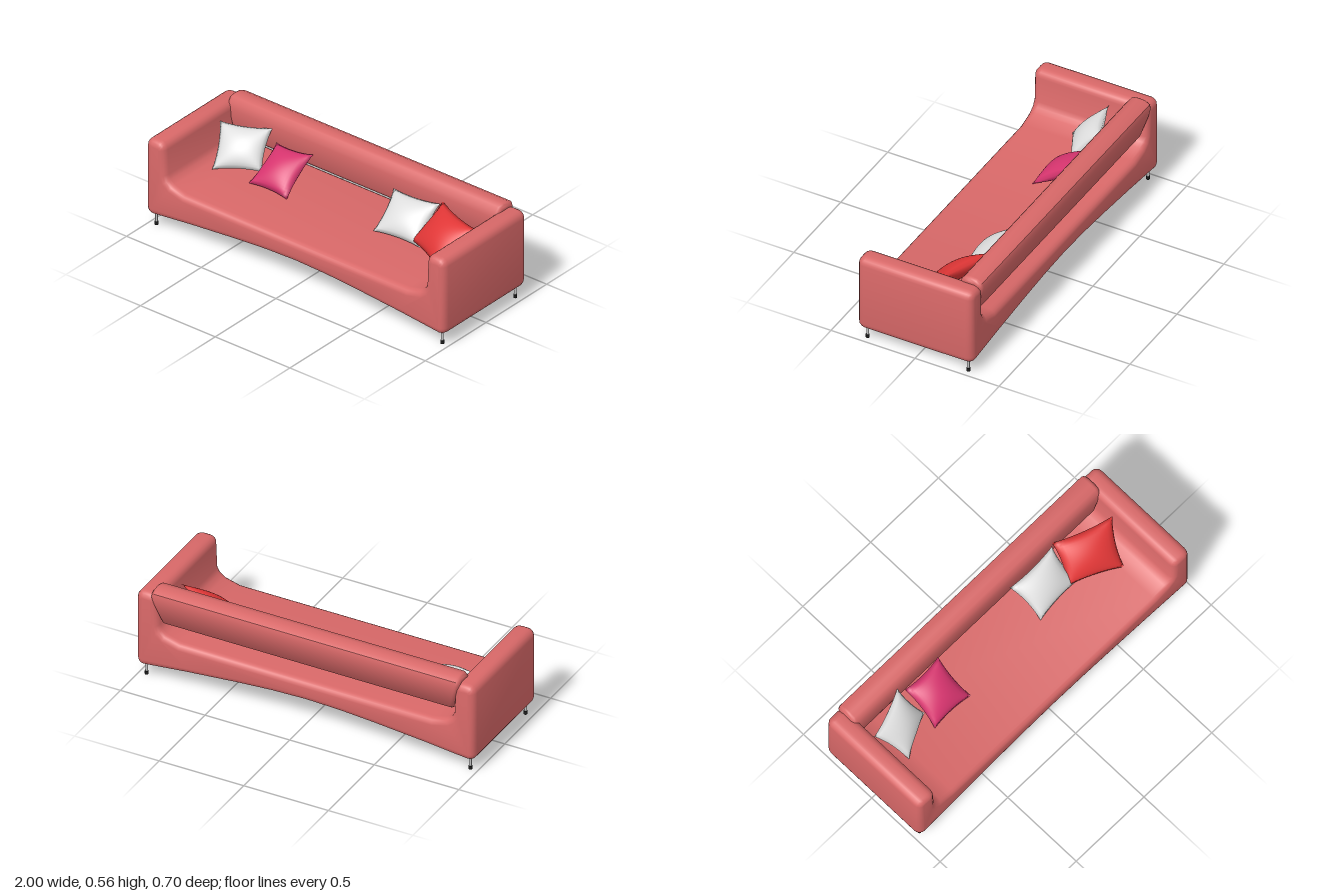
import * as THREE from 'three';
import { toCreasedNormals, mergeGeometries, mergeVertices } from 'three/addons/utils/BufferGeometryUtils.js';

const mat = (name, color) => {
  const m = new THREE.MeshStandardMaterial({ color });
  m.name = name;
  return m;
};

const addMesh = (parent, name, geometry, material) => {
  const mesh = new THREE.Mesh(geometry, material);
  mesh.name = name;
  parent.add(mesh);
  return mesh;
};

// Quarter-circle corner as a short run of points
const corner = (cx, cy, r, startDeg) => [0, 1, 2, 3, 4].map((i) => {
  const a = THREE.MathUtils.degToRad(startDeg + i * 22.5);
  return [cx + r * Math.cos(a), cy + r * Math.sin(a)];
});

const toShape = (pts) => new THREE.Shape(pts.map(([x, y]) => new THREE.Vector2(x, y)));

// Seat and arms: one U-shaped outline, extruded front to back with soft edges
function bodyGeometry() {
  const r = 0.042;
  const half = [
    [0.2, 0.139], [0.4, 0.125], [0.7, 0.098],
    ...corner(1 - r, 0.07 + r, r, -90),
    ...corner(1 - r, 0.525 - r, r, 0),
    ...corner(0.878 + r, 0.525 - r, r, 90),
    [0.872, 0.335], [0.858, 0.308], [0.83, 0.288], [0.745, 0.265],
  ];
  const mirrored = half.map(([x, y]) => [-x, y]).reverse();
  const g = new THREE.ExtrudeGeometry(toShape([[0, 0.145], ...half, ...mirrored]), {
    depth: 0.606, bevelThickness: 0.04, bevelSize: 0.036, bevelOffset: -0.036, bevelSegments: 4,
  });
  g.translate(0, 0, -0.298);
  return toCreasedNormals(g, 0.7);
}

// Backrest: leaning rounded section run along x, narrowing at the lower ends
function backrestGeometry() {
  const section = [
    [0.207, 0.365], [0.222, 0.343], [0.25, 0.335], [0.285, 0.337], [0.31, 0.355],
    [0.338, 0.46], [0.347, 0.51], [0.34, 0.537], [0.31, 0.553], [0.27, 0.557],
    [0.235, 0.55], [0.216, 0.525], [0.208, 0.49],
  ];
  const bevel = 0.025;
  const g = new THREE.ExtrudeGeometry(toShape(section), {
    depth: 1.82 - 2 * bevel, bevelThickness: bevel, bevelSize: bevel, bevelOffset: -bevel, bevelSegments: 4,
  });
  g.translate(0, 0, -0.91 + bevel);
  g.rotateY(Math.PI / 2);
  const p = g.attributes.position;
  for (let i = 0; i < p.count; i++) {
    const t = THREE.MathUtils.clamp((0.5 - p.getY(i)) / 0.16, 0, 1);
    p.setX(i, p.getX(i) * (1 - 0.055 * t));
  }
  return toCreasedNormals(g, 0.8);
}

// Cushion: two bulging sheets stretched between four corners, edges drawn inward
function cushionGeometry(corners, bulge) {
  const [tl, tr, br, bl] = corners.map((c) => new THREE.Vector3(...c));
  const normal = tr.clone().sub(tl).cross(tl.clone().sub(bl)).normalize();
  const front = new THREE.PlaneGeometry(2, 2, 16, 16);
  const back = front.clone().rotateY(Math.PI);
  const sheets = [front, back].map((g, side) => {
    const p = g.attributes.position;
    for (let i = 0; i < p.count; i++) {
      const u = p.getX(i), v = p.getY(i);
      const eu = Math.max(0, 1 - u * u), ev = Math.max(0, 1 - v * v);
      const s = (u * (1 - 0.09 * ev) + 1) / 2;
      const t = (v * (1 - 0.09 * eu) + 1) / 2;
      const low = bl.clone().lerp(br, s);
      const point = low.lerp(tl.clone().lerp(tr, s), t);
      point.addScaledVector(normal, (side ? -1 : 1) * bulge * Math.pow(eu * ev, 0.6));
      p.setXYZ(i, point.x, point.y, point.z);
    }
    g.deleteAttribute('normal');
    g.deleteAttribute('uv');
    return g;
  });
  const g = mergeVertices(mergeGeometries(sheets), 1e-5);
  g.computeVertexNormals();
  return g;
}

export function createModel() {
  const coral = mat('coral upholstery', 0xd86868);
  const white = mat('white fabric', 0xdedede);
  const pink = mat('pink fabric', 0xd6346e);
  const red = mat('red fabric', 0xe03636);
  const metal = mat('leg metal', 0xc4c4c4);
  const rubber = mat('black rubber', 0x1c1c1c);

  const sofa = new THREE.Group();
  sofa.name = 'sofa';
  addMesh(sofa, 'seatAndArms', bodyGeometry(), coral);
  addMesh(sofa, 'backrest', backrestGeometry(), coral);

  // Corners run top left, top right, bottom right, bottom left
  const cushions = [
    ['whiteCushionRight', white, [[-0.87, 0.465, -0.11], [-0.6, 0.475, -0.21], [-0.55, 0.3, -0.06], [-0.785, 0.282, 0.06]]],
    ['pinkCushion', pink, [[-0.56, 0.41, -0.195], [-0.315, 0.43, -0.195], [-0.305, 0.268, 0.035], [-0.565, 0.268, 0.03]]],
    ['whiteCushionLeft', white, [[0.22, 0.425, -0.2], [0.53, 0.448, -0.2], [0.54, 0.27, -0.02], [0.245, 0.27, 0.0]]],
    ['redCushion', red, [[0.54, 0.463, -0.21], [0.865, 0.468, -0.09], [0.76, 0.272, 0.1], [0.475, 0.29, -0.03]]],
  ];
  for (const [name, material, corners] of cushions) {
    addMesh(sofa, name, cushionGeometry(corners, 0.05), material);
  }

  // Four thin legs with dark feet
  for (const x of [-0.957, 0.957]) {
    for (const z of [0.306, -0.294]) {
      const leg = new THREE.Group();
      leg.name = 'leg';
      leg.position.set(x, 0, z);
      addMesh(leg, 'legPost', new THREE.CylinderGeometry(0.007, 0.007, 0.08, 16), metal).position.y = 0.055;
      addMesh(leg, 'legFoot', new THREE.CylinderGeometry(0.01, 0.01, 0.02, 16), rubber).position.y = 0.01;
      sofa.add(leg);
    }
  }
  return sofa;
}
